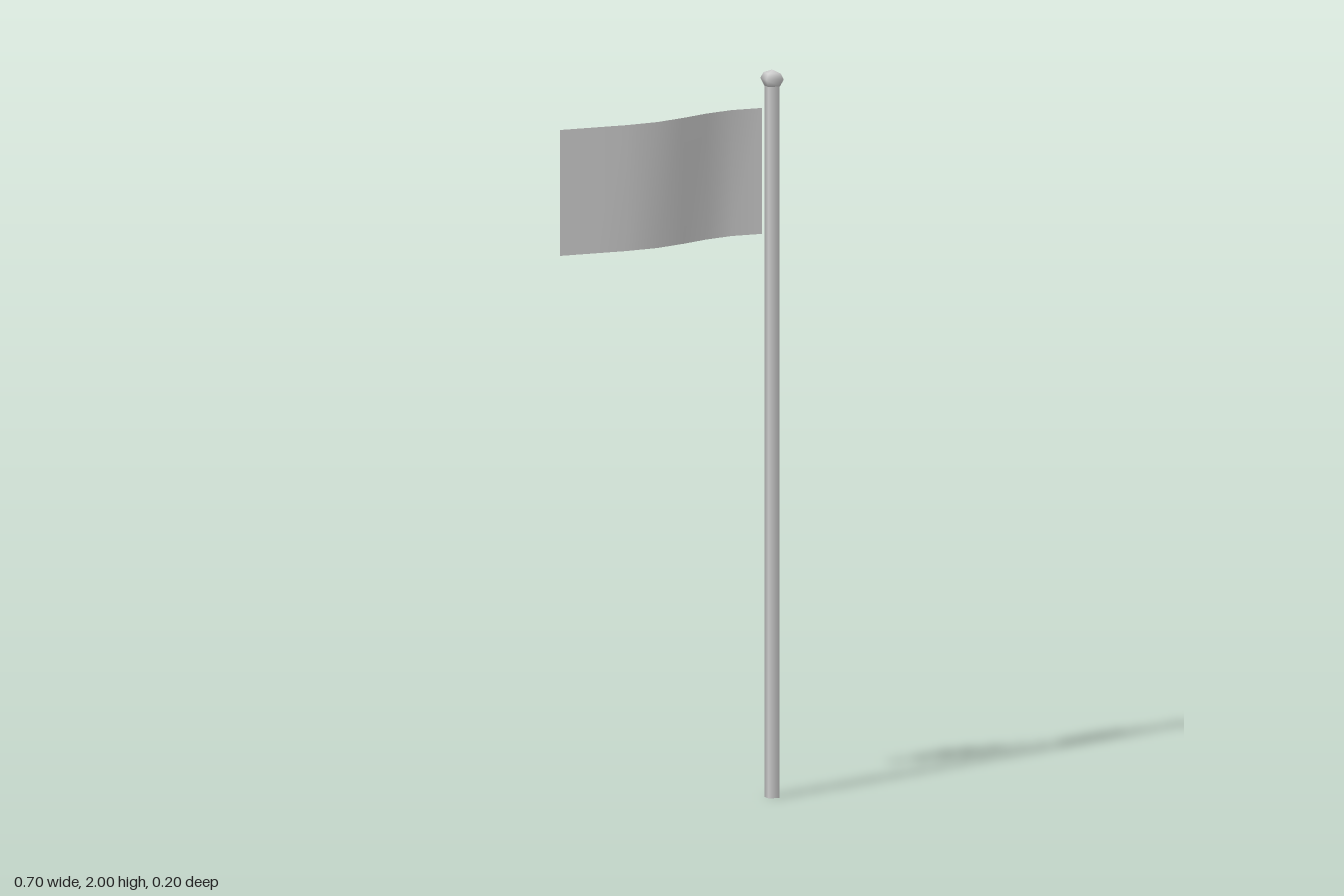
import * as THREE from 'three';

const POLE_X = 0.321, POLE_Z = -0.075;

export function createModel() {
  const group = new THREE.Group();
  const grey = new THREE.MeshStandardMaterial({ color: 0xcccccc });
  const cloth = new THREE.MeshStandardMaterial({ color: 0xcccccc, side: THREE.DoubleSide });

  const add = (name, geometry, material) => {
    const mesh = new THREE.Mesh(geometry, material);
    mesh.name = name;
    group.add(mesh);
    return mesh;
  };

  // Four-sided pole with softened normals, sides facing the axes
  const poleHeight = 1.96;
  const pole = add('pole',
    new THREE.CylinderGeometry(0.016 * Math.SQRT2, 0.016 * Math.SQRT2, poleHeight, 4, 1, false, Math.PI / 4), grey);
  pole.position.set(POLE_X, poleHeight / 2, POLE_Z);

  // Four-sided knob on top of the pole
  const profile = [[0, 1.95], [0.017, 1.955], [0.025, 1.975], [0.018, 1.991], [0, 2]]
    .map(([r, y]) => new THREE.Vector2(r * Math.SQRT2, y));
  const finial = add('finial', new THREE.LatheGeometry(profile, 4, Math.PI / 4), grey);
  finial.position.set(POLE_X, 0, POLE_Z);

  // Waving flag: a flat sheet whose columns follow the (x, z) wave
  const wave = [[-0.35, 0.097], [-0.25, 0.088], [-0.152, 0.079], [-0.056, 0.058],
    [0.035, 0.014], [0.118, -0.034], [0.203, -0.067], [0.292, -0.074]];
  const bottom = 1.55, top = 1.896;
  const sheet = new THREE.PlaneGeometry(1, top - bottom, wave.length - 1, 1);
  const pos = sheet.attributes.position;
  for (let i = 0; i < pos.count; i++) {
    const [x, z] = wave[i % wave.length];
    pos.setXYZ(i, x, pos.getY(i) + (top + bottom) / 2, z);
  }
  sheet.computeVertexNormals();
  add('flag', sheet, cloth);

  return group;
}
